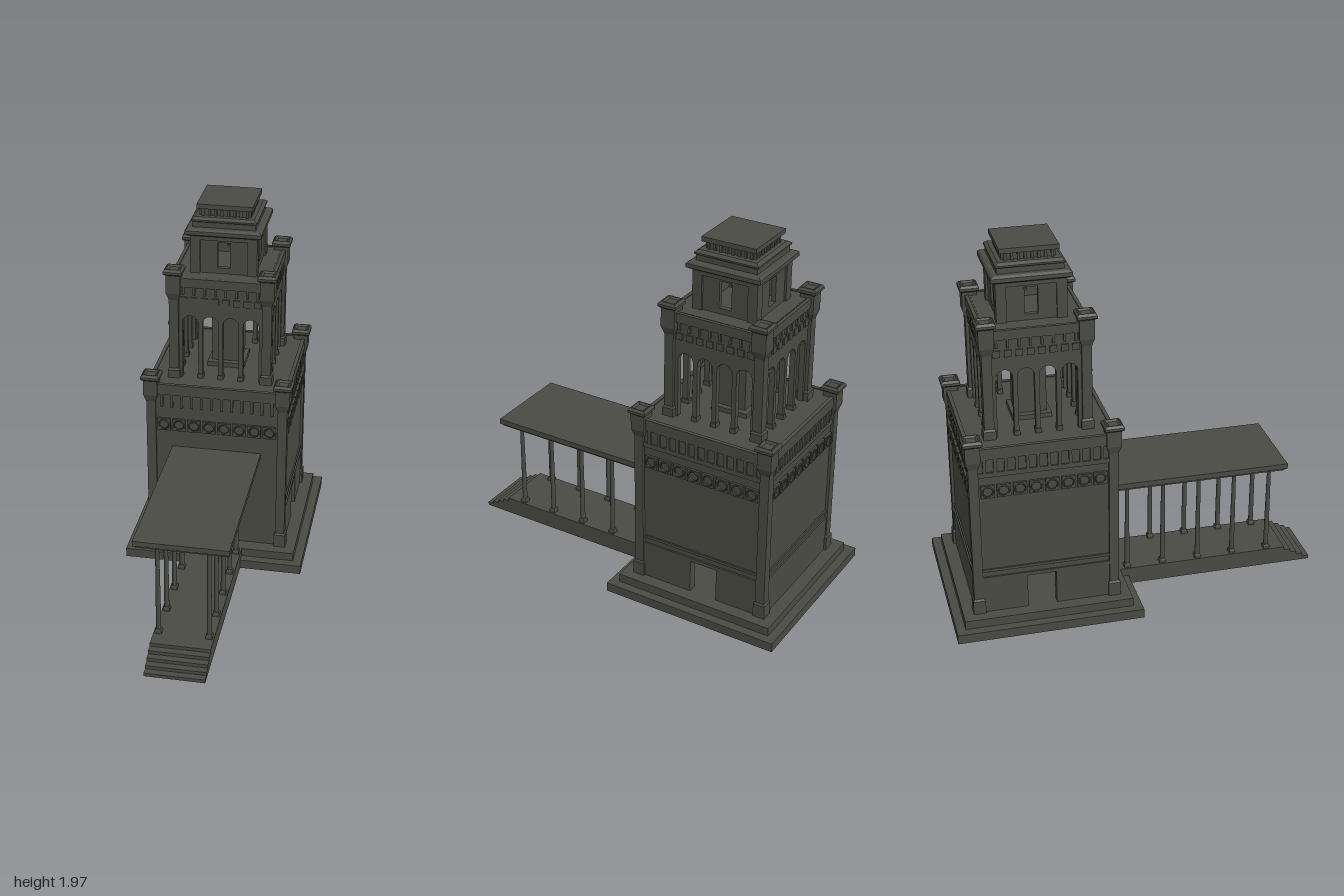
import * as THREE from 'three';

const stone = new THREE.MeshStandardMaterial({ color: 0x4b4b45 });
stone.name = 'dark stone';

function add(parent, name, geometry, x = 0, y = 0, z = 0) {
  const mesh = new THREE.Mesh(geometry, stone);
  mesh.name = name;
  mesh.position.set(x, y, z);
  parent.add(mesh);
  return mesh;
}

// Box given by its centre in x and z and its bottom and top heights
function block(parent, name, w, y0, y1, d, x = 0, z = 0) {
  return add(parent, name, new THREE.BoxGeometry(w, y1 - y0, d), x, (y0 + y1) / 2, z);
}

// Square moulding from [half width, height] pairs, bottom to top
function squareProfile(points) {
  const pts = points.map(([h, y]) => new THREE.Vector2(h * Math.SQRT2, y));
  const g = new THREE.LatheGeometry(pts, 4, Math.PI / 4).toNonIndexed();
  g.computeVertexNormals();
  return g;
}

// Wall outline with openings cut up from its lower edge; round ones end in an arch
function wallShape(w, y0, y1, openings = []) {
  const s = new THREE.Shape();
  s.moveTo(-w / 2, y0);
  for (const { x, r, top, round } of openings) {
    s.lineTo(x - r, y0);
    s.lineTo(x - r, round ? top - r : top);
    if (round) s.absarc(x, top - r, r, Math.PI, 0, true);
    else s.lineTo(x + r, top);
    s.lineTo(x + r, y0);
  }
  s.lineTo(w / 2, y0);
  s.lineTo(w / 2, y1);
  s.lineTo(-w / 2, y1);
  s.closePath();
  return s;
}

function rectHole(x0, x1, y0, y1) {
  const p = new THREE.Path();
  p.moveTo(x0, y0);
  p.lineTo(x0, y1);
  p.lineTo(x1, y1);
  p.lineTo(x1, y0);
  p.closePath();
  return p;
}

function extrude(shape, depth) {
  return new THREE.ExtrudeGeometry(shape, { depth, bevelEnabled: false, curveSegments: 12 });
}

// Four side groups turned about the tower axis: 0 front, 1 left, 2 back, 3 right
function fourSides(parent, name, build) {
  for (let i = 0; i < 4; i++) {
    const side = new THREE.Group();
    side.name = name;
    side.rotation.y = i * Math.PI / 2;
    build(side, i);
    parent.add(side);
  }
}

// Corner pier with foot, widened head and moulded cap
function cornerPiers(parent, name, at, y0, foot, head, roof, top) {
  const geometry = squareProfile([
    [0, y0], [0.032, y0], [0.032, foot - 0.01], [0.025, foot], [0.025, head], [0.038, head + 0.04],
    [0.038, roof], [0.05, roof + 0.01], [0.05, top - 0.012], [0.04, top],
    [0.034, top], [0.024, top - 0.008], [0, top - 0.008],
  ]);
  for (const sx of [-1, 1]) for (const sz of [-1, 1]) add(parent, name, geometry, sx * at, 0, sz * at);
}

function buildLowerTier(tower) {
  const face = 0.364;
  // Square medallion with a ring
  const tile = wallShape(0.07, -0.035, 0.035);
  const hole = new THREE.Path();
  hole.absarc(0, 0, 0.027, 0, Math.PI * 2, true);
  tile.holes.push(hole);
  const tileGeo = extrude(tile, 0.012);
  const ringGeo = new THREE.TorusGeometry(0.027, 0.004, 6, 20);

  fourSides(tower, 'lowerTierSide', (side, i) => {
    const doors = [
      [{ x: 0, r: 0.118, top: 0.595, round: true }],
      [{ x: 0.025, r: 0.075, top: 0.28 }],
      [],
      [{ x: -0.025, r: 0.075, top: 0.28 }],
    ][i];
    add(side, 'lowerWall', extrude(wallShape(0.7, 0.09, 1.03, doors), 0.035), 0, 0, face - 0.035);
    if (i > 0) {
      add(side, 'wallPlinth', extrude(wallShape(0.66, 0.09, 0.3, doors), 0.009), 0, 0, face);
      // Raised frame around the wall panel
      const frame = wallShape(0.7, 0.33, 0.9);
      frame.holes.push(rectHole(-0.33, 0.33, 0.345, 0.875));
      add(side, 'panelFrame', extrude(frame, 0.008), 0, 0, face);
    }
    for (let k = 0; k < 8; k++) {
      const x = (k - 3.5) * 0.0815;
      add(side, 'medallion', tileGeo, x, 0.795, face);
      add(side, 'medallionRing', ringGeo, x, 0.795, face + 0.012);
    }
    // Corbel table and parapet
    block(side, 'parapet', 0.66, 0.975, 1.035, 0.02, 0, 0.367);
    for (let k = 0; k < 12; k++) block(side, 'corbel', 0.016, 0.9, 0.975, 0.012, (k - 5.5) * 0.054, face + 0.004);
  });
  block(tower, 'lowerRoof', 0.71, 0.99, 1.03, 0.71);
  cornerPiers(tower, 'lowerPier', 0.354, 0.09, 0.18, 0.93, 1.055, 1.09);
}

function buildBelfry(tower) {
  const face = 0.255;
  fourSides(tower, 'belfrySide', (side) => {
    const arches = [-1.5, -0.5, 0.5, 1.5].map((k) => ({ x: k * 0.108, r: 0.042, top: 1.39, round: true }));
    add(side, 'arcade', extrude(wallShape(0.48, 1.03, 1.6, arches), 0.03), 0, 0, face - 0.03);
    block(side, 'belfryParapet', 0.46, 1.555, 1.605, 0.018, 0, 0.261);
    for (let k = 0; k < 8; k++) {
      const x = (k - 3.5) * 0.056;
      block(side, 'friezeTile', 0.036, 1.46, 1.496, 0.01, x, face + 0.002);
      block(side, 'belfryCorbel', 0.012, 1.51, 1.555, 0.012, x, face + 0.004);
    }
    for (const x of [-0.108, 0, 0.108]) block(side, 'arcadeFoot', 0.03, 1.03, 1.055, 0.04, x, 0.24);
  });
  add(tower, 'belfryCore', squareProfile([[0.1, 1.03], [0.1, 1.055], [0.078, 1.06], [0.078, 1.58]]));
  block(tower, 'belfryRoof', 0.49, 1.565, 1.602, 0.49);
  cornerPiers(tower, 'belfryPier', 0.247, 1.03, 1.085, 1.48, 1.62, 1.655);
}

function buildLantern(tower) {
  fourSides(tower, 'lanternSide', (side) => {
    const wall = wallShape(0.31, 1.6, 1.82);
    wall.holes.push(rectHole(-0.033, 0.033, 1.633, 1.773));
    add(side, 'lanternWall', extrude(wall, 0.025), 0, 0, 0.14);
    block(side, 'lanternLintel', 0.3, 1.785, 1.82, 0.012, 0, 0.168);
    for (let k = 0; k < 8; k++) block(side, 'dentil', 0.014, 1.905, 1.94, 0.014, (k - 3.5) * 0.033, 0.128);
  });
  for (const x of [-0.15, 0.15]) for (const z of [-0.15, 0.15]) {
    block(tower, 'lanternPier', 0.052, 1.6, 1.81, 0.052, x, z);
  }
  // Stepped cornices and roof
  add(tower, 'lanternCornice', squareProfile([
    [0, 1.81], [0.185, 1.81], [0.2, 1.82], [0.2, 1.84], [0.188, 1.85], [0.165, 1.852],
    [0.165, 1.88], [0.172, 1.885], [0.172, 1.893], [0.155, 1.905], [0.125, 1.905],
    [0.125, 1.945], [0.147, 1.945], [0.147, 1.97], [0, 1.97],
  ]));
}

function buildWalkway(model) {
  block(model, 'walkway', 0.31, 0, 0.095, 1.0, 0, 0.355);
  for (let i = 0; i < 4; i++) {
    const front = 1 - i * 0.036;
    block(model, 'frontStep', 0.31, i * 0.019, (i + 1) * 0.019, front - 0.85, 0, (front + 0.85) / 2);
  }
  // Colonnade
  const shaft = new THREE.LatheGeometry([
    [0.012, 0.115], [0.013, 0.13], [0.0125, 0.3], [0.01, 0.6], [0.014, 0.612], [0.014, 0.626],
  ].map(([r, y]) => new THREE.Vector2(r, y)), 14);
  const foot = squareProfile([[0.017, 0.09], [0.017, 0.11], [0.013, 0.12], [0, 0.12]]);
  for (const x of [-0.13, 0.13]) for (let i = 0; i < 5; i++) {
    const z = 0.755 - i * 0.196;
    add(model, 'column', shaft, x, 0, z);
    add(model, 'columnFoot', foot, x, 0, z);
  }
  block(model, 'canopyBeam', 0.455, 0.622, 0.638, 0.94, 0, 0.335);
  block(model, 'canopyRoof', 0.482, 0.636, 0.665, 0.96, 0, 0.338);
}

export function createModel() {
  const model = new THREE.Group();
  model.name = 'tower';
  const tower = new THREE.Group();
  tower.name = 'towerBody';
  tower.position.z = -0.513;
  model.add(tower);

  block(tower, 'baseStep', 0.974, 0, 0.05, 0.974);
  block(tower, 'upperBaseStep', 0.88, 0.05, 0.096, 0.88);
  buildLowerTier(tower);
  buildBelfry(tower);
  buildLantern(tower);
  buildWalkway(model);
  return model;
}
